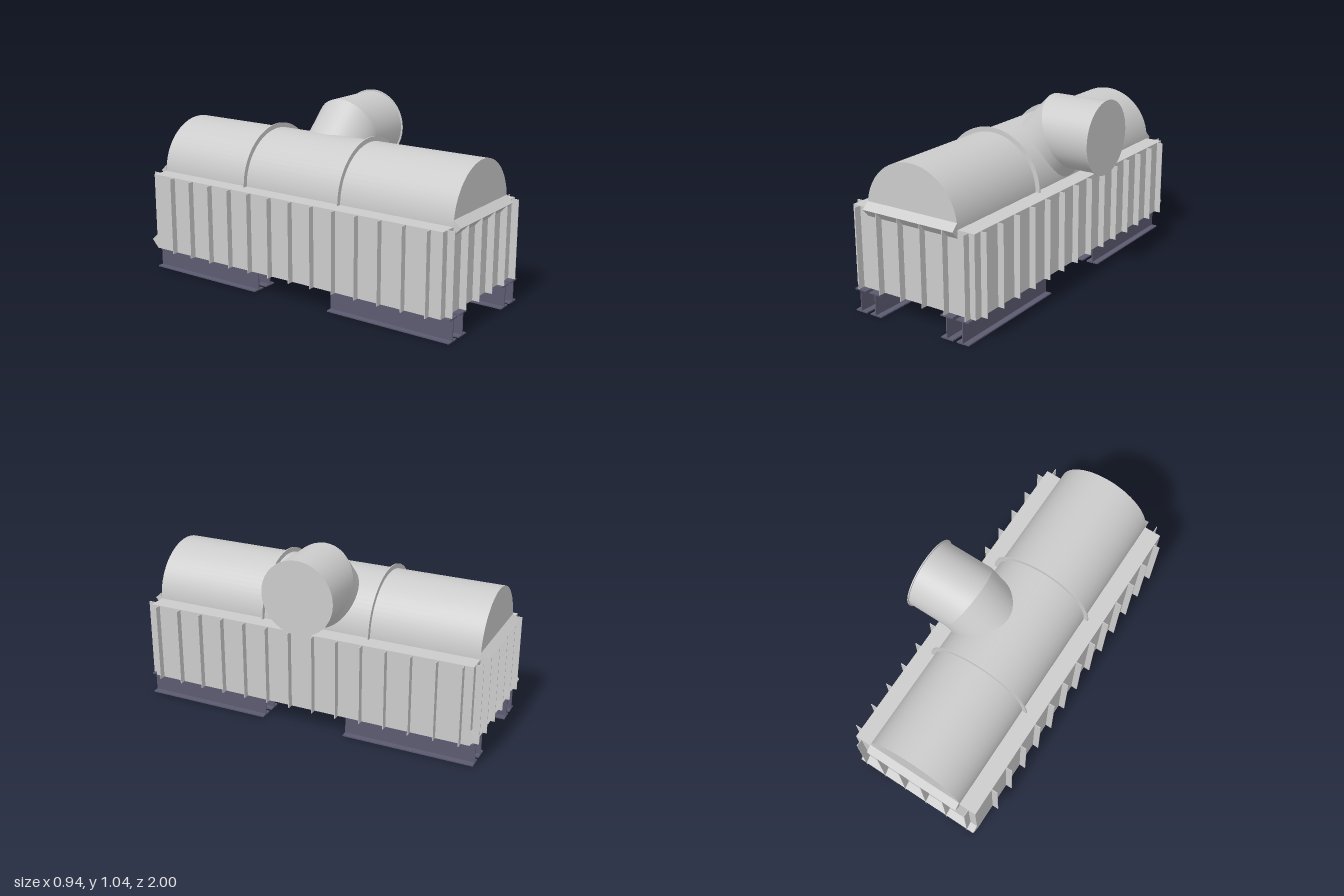
import * as THREE from 'three';

const CX = -0.05;               // centre line of the casing
const Y0 = 0.127, Y1 = 0.575;   // casing bottom and top
const HX = 0.385, HZ = 0.96;    // casing half width and half length

export function createModel() {
  const model = new THREE.Group();
  const grey = new THREE.MeshStandardMaterial({ color: 0xcccccc });
  const dark = new THREE.MeshStandardMaterial({ color: 0x5c5a70 });

  const add = (name, geometry, x, y, z, material = grey, parent = model) => {
    const mesh = new THREE.Mesh(geometry, material);
    mesh.name = name;
    mesh.position.set(x, y, z);
    parent.add(mesh);
    return mesh;
  };
  const box = (name, w, h, d, x, y, z, material, parent) =>
    add(name, new THREE.BoxGeometry(w, h, d), x, y, z, material, parent);

  // Casing
  const midY = (Y0 + Y1) / 2, height = Y1 - Y0;
  box('casing', HX * 2, height, HZ * 2, CX, midY, 0);

  // Stiffening fins on the long sides and both ends
  const fins = new THREE.Group();
  fins.name = 'fins';
  model.add(fins);
  for (let i = 0; i < 14; i++)
    box('rightSideFin', 0.036, height, 0.004, CX + HX + 0.018, midY, 0.91 - i * 0.14, grey, fins);
  for (let i = 0; i < 13; i++)
    box('leftSideFin', 0.036, height, 0.004, CX - HX - 0.018, midY, 0.89 - i * 0.141, grey, fins);
  for (const side of [-1, 1])
    for (const x of [-0.39, -0.25, -0.11, 0.03, 0.17, 0.3])
      box('endFin', 0.004, height, 0.04, x, midY, side * (HZ + 0.02), grey, fins);

  // Half-round cover
  const R = 0.285;
  const cover = new THREE.CylinderGeometry(R, R, HZ * 2, 32, 1, false, Math.PI / 2, Math.PI);
  cover.rotateX(Math.PI / 2);
  add('cover', cover, CX, Y1, 0);

  // Thin half rings around the cover
  const ringShape = new THREE.Shape();
  ringShape.absarc(0, 0, 0.311, 0, Math.PI, false);
  ringShape.absarc(0, 0, R - 0.005, Math.PI, 0, true);
  const ring = new THREE.ExtrudeGeometry(ringShape, { depth: 0.006, bevelEnabled: false, curveSegments: 32 });
  for (const z of [0.282, -0.352]) add('coverRing', ring, CX, Y1, z);

  // V-section stiffeners across the ends
  const angleBar = (name, width, y, side) => {
    const section = new THREE.Shape([[0, -0.044], [0.04, 0], [0, 0.036]].map(p => new THREE.Vector2(...p)));
    const geometry = new THREE.ExtrudeGeometry(section, { depth: width, bevelEnabled: false });
    geometry.translate(0, 0, -width / 2);
    geometry.rotateY(-side * Math.PI / 2);
    add(name, geometry, CX, y, side * HZ);
  };
  angleBar('frontUpperStiffener', R * 2, Y1, 1);
  angleBar('backUpperStiffener', R * 2, Y1, -1);
  angleBar('backLowerStiffener', HX * 2, 0.174, -1);

  // Mitred outlet duct: both pieces are cut along the same 22.5 degree plane
  const duct = new THREE.Group();
  duct.name = 'outletDuct';
  duct.position.set(0.21, 0.832, -0.04);
  model.add(duct);
  const r = 0.197, slope = Math.tan(Math.PI / 8);
  const mitredPipe = (name, from, to, cutSign, angle, open) => {
    const geometry = new THREE.CylinderGeometry(r, r, to - from, 40, 1, open);
    geometry.translate(0, (from + to) / 2, 0);
    const p = geometry.attributes.position;
    for (let i = 0; i < p.count; i++)
      if (Math.abs(p.getY(i)) < 1e-6) p.setY(i, cutSign * slope * p.getX(i));
    geometry.rotateZ(angle);
    add(name, geometry, 0, 0, 0, grey, duct);
  };
  mitredPipe('horizontalDuct', 0, 0.255, 1, -Math.PI / 2, true);
  mitredPipe('slopingDuct', -0.36, 0, -1, -Math.PI / 4, true);
  const flange = new THREE.CylinderGeometry(0.206, 0.206, 0.006, 40);
  flange.rotateZ(Math.PI / 2);
  add('ductFlange', flange, 0.257, 0, 0, grey, duct);

  // I-beam skids in pairs under each corner
  for (const [z0, z1] of [[0.26, 1], [-0.98, -0.235]])
    for (const x of [-0.379, -0.281, 0.185, 0.283]) {
      const beam = new THREE.Group();
      beam.name = 'skidBeam';
      beam.position.set(x, 0, (z0 + z1) / 2);
      model.add(beam);
      const length = z1 - z0;
      box('lowerFlange', 0.074, 0.007, length, 0, 0.0035, 0, dark, beam);
      box('upperFlange', 0.074, 0.007, length, 0, Y0 - 0.0035, 0, dark, beam);
      box('web', 0.006, Y0 - 0.01, length, 0, Y0 / 2, 0, dark, beam);
    }

  return model;
}
